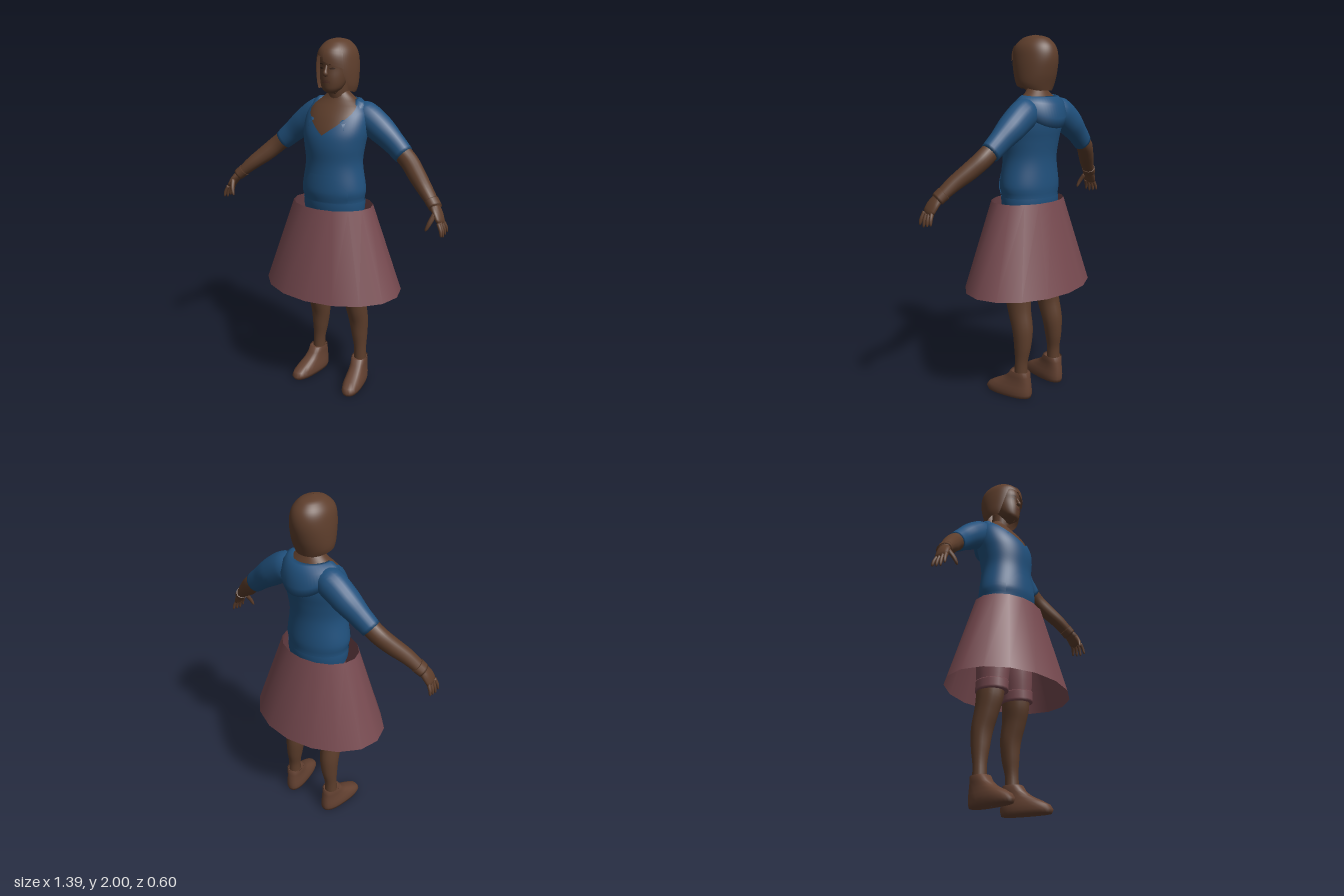
import * as THREE from 'three';

const mat = (name, color, side = THREE.FrontSide) => {
  const m = new THREE.MeshStandardMaterial({ color, side });
  m.name = name;
  return m;
};
const V = (x, y, z) => new THREE.Vector3(x, y, z);

// Skin a list of rings (arrays of points) into one smooth surface
function loft(rings, closed = true) {
  const n = rings[0].length, index = [];
  for (let i = 0; i < rings.length - 1; i++)
    for (let j = 0; j < (closed ? n : n - 1); j++) {
      const k = (j + 1) % n, a = i * n, b = a + n;
      index.push(a + j, a + k, b + j, a + k, b + k, b + j);
    }
  const g = new THREE.BufferGeometry().setFromPoints(rings.flat());
  g.setIndex(index);
  g.computeVertexNormals();
  return g;
}

// Tapered limb: stations [x, y, z, width radius, depth radius], mirrored by s
function limb(st, s = 1, sides = 16, steps = 5, round = false) {
  const path = new THREE.CatmullRomCurve3(st.map(p => V(p[0] * s, p[1], p[2])));
  const size = new THREE.CatmullRomCurve3(st.map(p => V(p[3], p[4], 0)));
  const n = (st.length - 1) * steps, rings = [];
  const ring = (t, k) => {
    const c = path.getPoint(t), r = size.getPoint(t), d = path.getTangent(t);
    const u = V(0, 0, 1).addScaledVector(d, -d.z).normalize();
    const v = d.clone().cross(u);
    rings.push(Array.from({ length: sides }, (_, j) => {
      const a = j / sides * Math.PI * 2;
      return c.clone().addScaledVector(u, Math.cos(a) * r.y * k).addScaledVector(v, Math.sin(a) * r.x * k);
    }));
  };
  ring(0, 0.001);
  for (let i = 0; i <= n; i++) ring(i / n, round && i === n ? 0.6 : 1);
  ring(1, 0.001);
  return loft(rings);
}

// Body profile rows [y, half width, front z, back z], smoothly interpolated
function section(rows, y) {
  let i = 0;
  while (i < rows.length - 2 && y > rows[i + 1][0]) i++;
  const a = rows[i], b = rows[i + 1], p = rows[Math.max(i - 1, 0)], q = rows[Math.min(i + 2, rows.length - 1)];
  const h = b[0] - a[0], t = Math.min(1, Math.max(0, (y - a[0]) / h));
  return [1, 2, 3].map(c => {
    const ma = (b[c] - p[c]) / (b[0] - p[0]) * h, mb = (q[c] - a[c]) / (q[0] - a[0]) * h;
    return (2 * t ** 3 - 3 * t * t + 1) * a[c] + (t ** 3 - 2 * t * t + t) * ma
      + (3 * t * t - 2 * t ** 3) * b[c] + (t ** 3 - t * t) * mb;
  });
}
const onBody = (rows, a, y, off = 0) => {
  const [w, f, b] = section(rows, y);
  return V(Math.sin(a) * (w + off), y, (f + b) / 2 + Math.cos(a) * ((f - b) / 2 + off));
};

// Surface around a profile between two heights that vary with angle (0 = front)
function sheet(rows, lo, hi, { off = 0, n = 14, sides = 48, from = 0, to = Math.PI * 2, ease = k => k } = {}) {
  const closed = to - from > 6.28, rings = [];
  for (let i = 0; i <= n; i++)
    rings.push(Array.from({ length: closed ? sides : sides + 1 }, (_, j) => {
      const a = from + (to - from) * j / sides;
      const l = lo(a), h = hi(a);
      return onBody(rows, a, l + (h - l) * ease(i / n), off);
    }));
  return loft(rings, closed);
}
const fromFront = a => Math.abs(Math.atan2(Math.sin(a), Math.cos(a)));

const torso = [[1.06, .17, .11, -.145], [1.12, .176, .12, -.152], [1.15, .176, .122, -.152], [1.2, .186, .131, -.156],
  [1.35, .163, .122, -.15], [1.45, .175, .126, -.162], [1.52, .185, .115, -.175], [1.6, .18, .075, -.178],
  [1.65, .155, .035, -.165], [1.69, .1, 0, -.14], [1.73, .055, -.01, -.115]];
const skull = [[1.722, .015, .045, .01], [1.735, .042, .062, -.03], [1.76, .06, .068, -.06], [1.8, .072, .071, -.1],
  [1.85, .078, .068, -.13], [1.9, .08, .07, -.15], [1.96, .06, .045, -.13]];
const hairRows = [[1.71, .088, .03, -.14], [1.74, .106, .05, -.15], [1.8, .112, .068, -.17], [1.88, .108, .08, -.184],
  [1.94, .094, .068, -.172], [1.98, .062, .025, -.135], [1.993, .036, -.01, -.1], [2, .001, -.05, -.052]];
const shoe = [[0, .001, .01, .008], [.002, .05, .145, -.135], [.022, .055, .155, -.14], [.045, .055, .14, -.14],
  [.068, .051, .1, -.138], [.095, .046, .045, -.135], [.125, .045, .005, -.13], [.158, .046, -.015, -.125],
  [.15, .04, -.025, -.118], [.15, .001, -.07, -.072]];

export function createModel() {
  const model = new THREE.Group();
  const skin = mat('brown skin', 0x5c3d2b), hairMat = mat('brown hair', 0x5e3e2c, THREE.DoubleSide);
  const blue = mat('blue fabric', 0x20507c, THREE.DoubleSide), rose = mat('dusty rose fabric', 0x774a50, THREE.DoubleSide);
  const leather = mat('shoe brown', 0x634131), dark = mat('dark features', 0x39251b, THREE.DoubleSide);
  const lipMat = mat('lip brown', 0x56332a, THREE.DoubleSide);
  const add = (name, geo, m) => {
    const mesh = new THREE.Mesh(geo, m);
    mesh.name = name;
    model.add(mesh);
    return mesh;
  };

  // Chest, neck and head
  add('chest', sheet(torso, () => 1.4, () => 1.725, { off: -.007 }), skin);
  add('neck', limb([[0, 1.62, -.08, .06, .06], [0, 1.7, -.06, .053, .056], [0, 1.79, -.05, .052, .058]]), skin);
  add('head', sheet(skull, () => 1.722, () => 1.96, { n: 24, sides: 32 }), skin);
  add('chinUnderside', limb([[0, 1.722, .015, .02, .025], [0, 1.755, 0, .045, .05]]), skin);
  add('nose', limb([[0, 1.868, .062, .007, .008], [0, 1.842, .073, .009, .01], [0, 1.825, .078, .014, .013], [0, 1.815, .07, .01, .008]], 1, 10), skin);
  for (const [name, y, h] of [['upperLip', 1.786, .006], ['lowerLip', 1.778, .007]])
    add(name, sheet(skull, () => y, a => y + h * Math.cos(a * 3.5), { off: .004, n: 3, sides: 8, from: -.35, to: .35 }), lipMat);
  for (const s of [1, -1]) {
    const c = .42 * s;
    const arch = a => Math.cos((a - c) * 7);
    const span = { off: .003, n: 3, sides: 8, from: c - .2, to: c + .2 };
    add('eye', sheet(skull, a => 1.851 - .004 * arch(a), a => 1.851 + .006 * arch(a), span), dark);
    add('eyebrow', sheet(skull, a => 1.868 + .004 * arch(a), a => 1.873 + .005 * arch(a), span), dark);
  }

  // Bob haircut with a swept fringe
  const hairEdge = a => {
    const f = fromFront(a), side = THREE.MathUtils.smoothstep(f, .62, 1.12);
    return THREE.MathUtils.lerp(1.905 - .02 * Math.sin(a), 1.735 - .022 * THREE.MathUtils.smoothstep(f, 1.3, 2.6), side);
  };
  add('hair', sheet(hairRows, hairEdge, () => 2, { n: 26, sides: 64, ease: k => Math.sin(k * Math.PI / 2) }), hairMat);
  add('hairLock', sheet(hairRows, a => 1.885 - .04 * a, a => 1.95 - .01 * a, { off: .005, n: 5, sides: 10, from: -.1, to: .85 }), hairMat);

  // Hooded top with a V neckline, hem band and front pocket
  add('hoodieBody', sheet(torso, () => 1.07, a => 1.51 + .15 * Math.min(1, fromFront(a) / 1.1), { n: 30, sides: 64 }), blue);
  add('hemBand', sheet(torso, () => 1.085, () => 1.145, { off: .004, n: 4 }), blue);
  add('frontPocket', sheet(torso, () => 1.15, a => 1.3 - .09 * Math.max(0, Math.abs(a) - .45) / .4,
    { off: .005, n: 8, sides: 20, from: -.85, to: .85 }), blue);
  const hoodRings = [];
  for (let i = 0; i <= 44; i++) {
    const a = (i / 22 - 1) * 2.4, b = Math.max(0, Math.cos(a)), f = Math.max(0, -Math.cos(a));
    const profile = [[.085, .075, 1.635, .08], [.1, .1, 1.685, .08], [.122, .122, 1.692 - .012 * b, .07],
      [.15, .15, 1.675 - .03 * b, .045], [.164, .166, 1.645 - .075 * b, .03], [.158, .155, 1.625 - .105 * b, .02], [.13, .11, 1.62 - .09 * b, 0]];
    hoodRings.push(profile.map(([rx, rz, y, lean]) =>
      V(Math.sin(a) * rx, y - .15 * f, -.058 - Math.cos(a) * (rz + lean * f))));
  }
  add('hood', loft(hoodRings, false), blue);

  // Skirt and shorts
  const skirt = add('skirt', new THREE.CylinderGeometry(.172, .3, .49, 16, 1, true).scale(1.367, 1, 1), rose);
  skirt.position.y = .875;
  add('shortsSeat', limb([[0, .82, -.03, .09, .1], [0, .9, -.025, .165, .115], [0, 1.0, -.02, .172, .12], [0, 1.1, -.02, .168, .118]], 1, 28), rose);

  for (const s of [1, -1]) {
    const side = s > 0 ? 'left' : 'right';

    // Arm, sleeve and wrist band
    add(side + 'Sleeve', limb([[.09, 1.61, -.1, .065, .06], [.15, 1.59, -.1, .082, .075], [.24, 1.53, -.1, .076, .072],
      [.32, 1.467, -.094, .063, .056], [.385, 1.412, -.084, .056, .05]], s, 20), blue);
    add(side + 'Arm', limb([[.34, 1.45, -.088, .05, .045], [.42, 1.385, -.073, .05, .046], [.48, 1.33, -.04, .048, .045],
      [.55, 1.27, .003, .04, .042], [.63, 1.195, .043, .027, .036]], s), skin);
    add(side + 'WristBand', limb([[.598, 1.226, .026, .035, .042], [.628, 1.197, .042, .032, .041]], s), skin);

    // Hand with four fingers and a thumb
    add(side + 'Palm', limb([[.62, 1.205, .04, .024, .034], [.648, 1.168, .055, .02, .042], [.672, 1.125, .066, .014, .04]], s, 14, 4, true), skin);
    for (let k = -1.5; k < 2; k++) {
      const z = .066 + k * .019, reach = .07 - .008 * Math.abs(k - .3);
      add(side + 'Finger', limb([[.667, 1.135, z, .011, .011], [.684, 1.13 - reach * .5, z + k * .005, .009, .0095],
        [.69, 1.13 - reach, z + k * .008, .006, .006]], s, 8, 4, true), skin);
    }
    add(side + 'Thumb', limb([[.64, 1.175, .08, .014, .014], [.625, 1.13, .108, .012, .011], [.61, 1.092, .12, .007, .007]], s, 8, 4, true), skin);

    // Shorts leg with turned-up cuff
    add(side + 'ShortsLeg', limb([[.095, .94, -.025, .075, .1], [.105, .78, -.025, .082, .1], [.115, .62, -.025, .071, .088]], s, 20), rose);
    add(side + 'ShortsCuff', limb([[.114, .66, -.025, .077, .095], [.116, .602, -.026, .075, .094]], s, 20), rose);

    // Leg and shoe
    add(side + 'Leg', limb([[.112, .68, -.03, .066, .082], [.12, .58, -.035, .064, .08], [.126, .5, -.05, .058, .07], [.13, .4, -.075, .056, .06],
      [.136, .3, -.08, .046, .05], [.143, .2, -.076, .036, .037], [.144, .1, -.075, .038, .04]], s), skin);
    const rings = shoe.map(([y, w, f, b]) => Array.from({ length: 24 }, (_, j) => {
      const a = j / 24 * Math.PI * 2, c = Math.cos(a), q = Math.sin(a);
      return V(Math.sign(q) * Math.abs(q) ** .8 * w, y, (f + b) / 2 + Math.sign(c) * Math.abs(c) ** .8 * (f - b) / 2);
    }));
    const foot = add(side + 'Shoe', loft(rings), leather);
    foot.position.x = .155 * s;
    foot.rotation.y = .16 * s;
  }
  return model;
}
